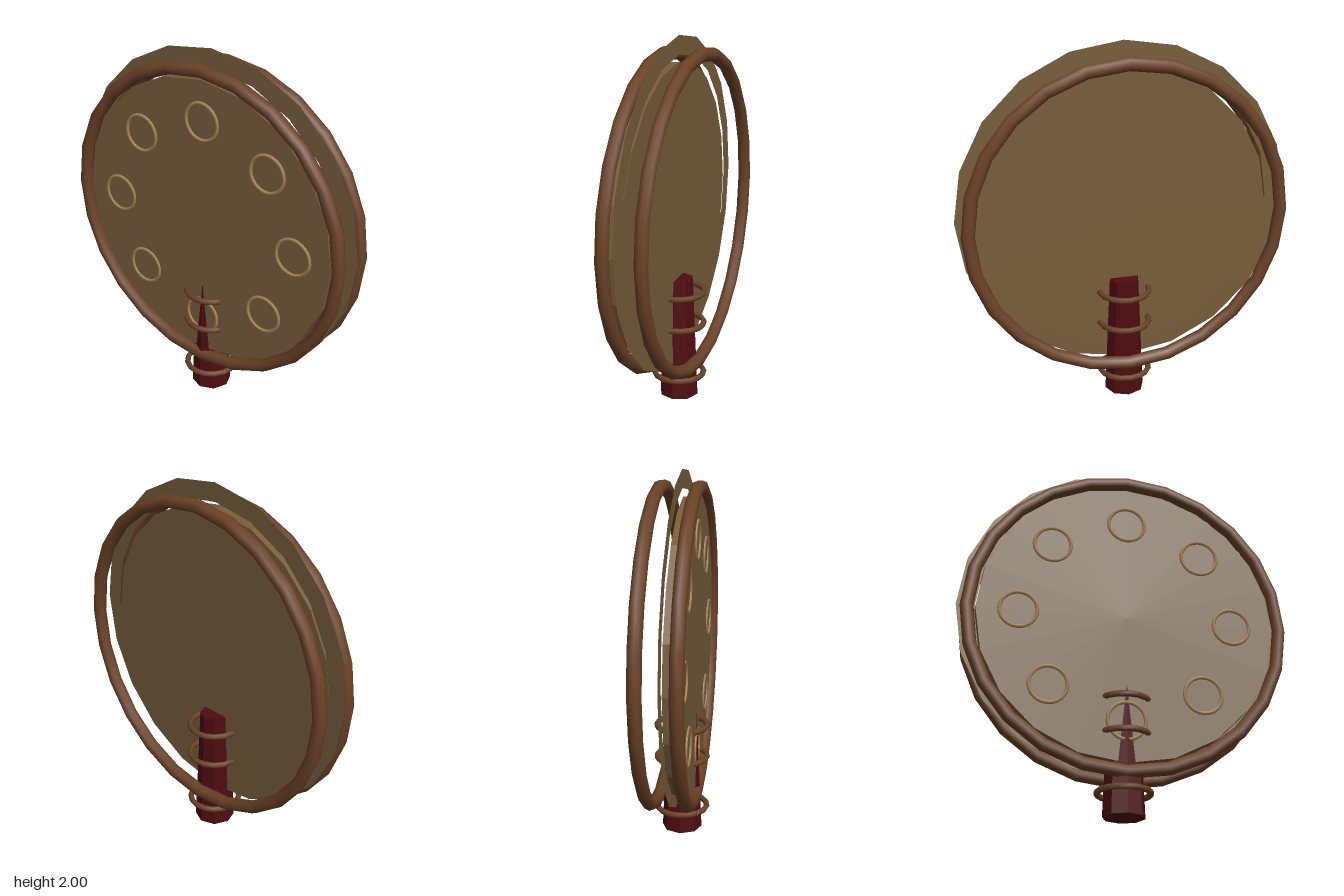
import * as THREE from 'three';

const mat = (name, color, extra = {}) => {
  const m = new THREE.MeshStandardMaterial({ color, ...extra });
  m.name = name;
  return m;
};

export function createModel() {
  const model = new THREE.Group();
  model.name = 'handDrum';

  const hide = mat('tanHide', 0x765d3a, { flatShading: true });
  const flange = mat('tanFlange', 0x765d3a, { side: THREE.DoubleSide });
  const wood = mat('brownWood', 0x6b4226);
  const brass = mat('lightTan', 0xa68456);
  const grip = mat('darkRed', 0x4f0c10, { flatShading: true });

  const add = (name, geometry, material, x, y, z) => {
    const mesh = new THREE.Mesh(geometry, material);
    mesh.name = name;
    mesh.position.set(x, y, z);
    model.add(mesh);
    return mesh;
  };

  const centreY = 1.06;

  // Main disc
  add('disc', new THREE.CylinderGeometry(0.8, 0.8, 0.075, 20).rotateX(Math.PI / 2),
    hide, 0, centreY, 0.0425);

  // Thin flat ring around the disc, set slightly higher
  add('flatRing', new THREE.RingGeometry(0.8, 0.9, 20), flange, 0, 1.1, 0);

  // Front and back hoops
  for (const [name, z] of [['frontHoop', 0.079], ['backHoop', -0.117]]) {
    add(name, new THREE.TorusGeometry(0.845, 0.036, 8, 24), wood, 0, centreY, z);
  }

  // Eight small rings on the front face
  for (let i = 0; i < 8; i++) {
    const a = (i / 8) * Math.PI * 2;
    add('smallRing', new THREE.TorusGeometry(0.1, 0.01, 6, 24), brass,
      0.577 * Math.cos(a), centreY + 0.577 * Math.sin(a), 0.08);
  }

  // Tapered eight-sided handle
  add('handle', new THREE.CylinderGeometry(0.08, 0.11, 0.685, 8), grip, 0, 0.3425, 0);

  // Bands around the handle
  for (const y of [0.125, 0.425, 0.61]) {
    add('handleBand', new THREE.TorusGeometry(0.138, 0.016, 6, 16).rotateX(Math.PI / 2),
      wood, 0, y, 0);
  }

  return model;
}
